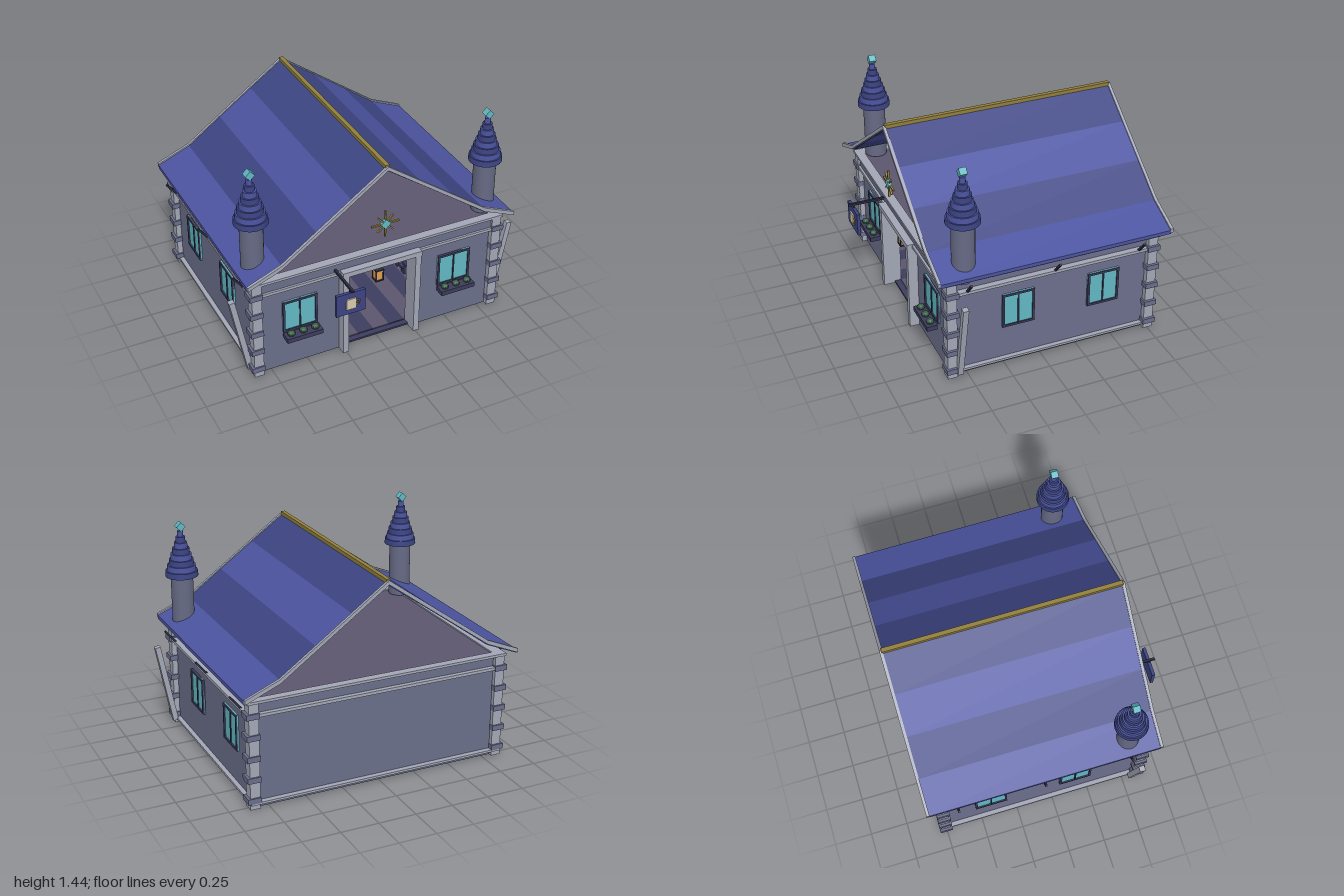
import * as THREE from 'three';

const C = {
  wall: 0x6b6f8b, trim: 0xa3a7b6, block: 0x6a6e8c, roofA: 0x3e4684, roofB: 0x4c54a0,
  dark: 0x2a2c40, frame: 0x3c3c5c, glass: 0x62b8c4, gold: 0x92803c, wood: 0x5c566e,
  plank: 0x3c3c60, blue: 0x3c4484, stone: 0x666a84, green: 0x3c6048, cream: 0xd8ccb0, lamp: 0xe0a050,
};
const mats = {};
for (const k in C) mats[k] = new THREE.MeshStandardMaterial({ color: C[k], flatShading: true });
mats.stone.flatShading = false;

function add(parent, name, geo, mat, x = 0, y = 0, z = 0) {
  const m = new THREE.Mesh(geo, mats[mat]);
  m.name = name;
  m.position.set(x, y, z);
  parent.add(m);
  return m;
}
// Box given by its limits on each axis
function box(parent, name, mat, x0, x1, y0, y1, z0, z1) {
  return add(parent, name, new THREE.BoxGeometry(x1 - x0, y1 - y0, z1 - z0), mat,
    (x0 + x1) / 2, (y0 + y1) / 2, (z0 + z1) / 2);
}
function group(parent, name) {
  const g = new THREE.Group();
  g.name = name;
  parent.add(g);
  return g;
}
// Square stick between two points in the xy plane
function stick(parent, name, mat, a, b, thick, depth, z) {
  const dx = b[0] - a[0], dy = b[1] - a[1];
  const m = add(parent, name, new THREE.BoxGeometry(Math.hypot(dx, dy), thick, depth), mat,
    (a[0] + b[0]) / 2, (a[1] + b[1]) / 2, z);
  m.rotation.z = Math.atan2(dy, dx);
  return m;
}

// Framed two-pane window facing +z, origin at its centre
function makeWindow(parent, w, h) {
  const g = group(parent, 'window');
  const t = 0.014;
  box(g, 'windowGlass', 'glass', -w / 2, w / 2, -h / 2, h / 2, -0.01, 0.006);
  for (const s of [-1, 1]) {
    add(g, 'windowFrameSide', new THREE.BoxGeometry(t, h, 0.03), 'frame', s * (w - t) / 2);
    add(g, 'windowFrameRail', new THREE.BoxGeometry(w, t, 0.03), 'frame', 0, s * (h - t) / 2);
  }
  box(g, 'windowMullion', 'dark', -0.005, 0.005, -h / 2, h / 2, 0, 0.012);
  return g;
}

function buildWalls(root) {
  const g = group(root, 'walls');
  // Front wall with the doorway cut out
  const s = new THREE.Shape();
  [[-0.84, 0], [-0.24, 0], [-0.24, 0.6], [0.24, 0.6], [0.24, 0], [0.84, 0], [0.84, 0.7], [-0.84, 0.7]]
    .forEach(([x, y], i) => (i ? s.lineTo(x, y) : s.moveTo(x, y)));
  add(g, 'frontWall', new THREE.ExtrudeGeometry(s, { depth: 0.05, bevelEnabled: false }), 'wall', 0, 0, 0.55);
  box(g, 'backWall', 'wall', -0.84, 0.84, 0, 0.7, -0.76, -0.71);
  for (const k of [-1, 1]) add(g, 'sideWall', new THREE.BoxGeometry(0.05, 0.7, 1.26), 'wall', k * 0.815, 0.35, -0.08);
  box(g, 'floorSlab', 'plank', -0.83, 0.83, 0.002, 0.015, -0.75, 0.59);
  for (let i = 0; i < 14; i++) {
    const x = -0.79 + i * 0.113;
    box(g, 'floorPlank', i % 2 ? 'wood' : 'plank', x, x + 0.113, 0.012, 0.022, -0.71, 0.55);
  }
  box(g, 'ceiling', 'wood', -0.83, 0.83, 0.67, 0.703, -0.75, 0.59);

  // Horizontal trim running round the building
  for (const [y0, y1, o] of [[0.605, 0.625, 0.03], [0.695, 0.712, 0.035]]) {
    box(g, 'frontTrim', 'trim', -0.85 - o, 0.85 + o, y0, y1, 0.58, 0.605 + o);
    box(g, 'backTrim', 'trim', -0.85 - o, 0.85 + o, y0, y1, -0.76 - o, -0.74);
    for (const k of [-1, 1]) {
      add(g, 'sideTrim', new THREE.BoxGeometry(0.04 + o, y1 - y0, 1.36), 'trim', k * (0.83 + o / 2), (y0 + y1) / 2, -0.08);
    }
  }
  box(g, 'frontBeam', 'wall', -0.86, 0.86, 0.625, 0.695, 0.58, 0.62);
  box(g, 'backSill', 'trim', -0.87, 0.87, 0.03, 0.045, -0.795, -0.75);
  for (const k of [-1, 1]) add(g, 'sideSill', new THREE.BoxGeometry(0.05, 0.015, 1.4), 'trim', k * 0.845, 0.0375, -0.09);

  // Corner posts with projecting blocks
  for (const x of [-0.843, 0.843]) for (const z of [0.602, -0.755]) {
    add(g, 'cornerPost', new THREE.BoxGeometry(0.065, 0.7, 0.065), 'trim', x, 0.35, z);
    for (let i = 0; i < 5; i++) {
      add(g, 'cornerBlock', new THREE.BoxGeometry(0.085, 0.036, 0.085), 'block', x * 1.008, 0.06 + i * 0.139, z);
    }
  }
  // Door surround and lantern
  for (const k of [-1, 1]) add(g, 'doorPost', new THREE.BoxGeometry(0.04, 0.6, 0.12), 'trim', k * 0.255, 0.3, 0.605);
  box(g, 'doorLintel', 'trim', -0.278, 0.278, 0.597, 0.632, 0.545, 0.668);
  const l = group(g, 'lantern');
  box(l, 'lanternChain', 'dark', -0.003, 0.003, 0.54, 0.6, 0.597, 0.603);
  box(l, 'lanternGlow', 'lamp', -0.023, 0.023, 0.468, 0.537, 0.577, 0.623);
  for (const y of [0.464, 0.541]) add(l, 'lanternCap', new THREE.BoxGeometry(0.058, 0.009, 0.058), 'dark', 0, y, 0.6);
  for (const x of [-0.025, 0.025]) for (const z of [0.575, 0.625]) {
    add(l, 'lanternBar', new THREE.BoxGeometry(0.007, 0.08, 0.007), 'dark', x, 0.502, z);
  }

  for (const k of [-1, 1]) {
    // Windows and planters
    makeWindow(g, 0.235, 0.23).position.set(k * 0.548, 0.388, 0.603);
    add(g, 'flowerBox', new THREE.BoxGeometry(0.245, 0.032, 0.07), 'frame', k * 0.548, 0.255, 0.655);
    for (const d of [-0.082, 0, 0.082]) {
      add(g, 'plant', new THREE.SphereGeometry(0.026, 10, 6), 'green', k * 0.548 + d, 0.284, 0.655).scale.y = 0.75;
    }
    for (const z of [0.155, -0.425]) {
      const w = makeWindow(g, 0.215, 0.24);
      w.position.set(k * 0.843, 0.395, z);
      w.rotation.y = k * Math.PI / 2;
    }
    // Leaning buttress and eave brackets
    stick(g, 'buttress', 'trim', [k * 0.878, 0.03], [k * 0.982, 0.58], 0.036, 0.037, 0.558);
    for (const z of [0.5, -0.08, -0.655]) stick(g, 'eaveBracket', 'dark', [k * 0.87, 0.62], [k * 0.94, 0.705], 0.014, 0.014, z);
  }
}

function buildRoof(root) {
  const g = group(root, 'roof');
  const p = [[0, 1.345], [0.235, 1.18], [0.467, 1.015], [0.7, 0.846], [0.925, 0.752]];
  // A strip is a slanted slab of the given thickness hanging below the profile
  const strip = (name, mat, k, i, j, lift, thick, z0, z1) => {
    const [a, b] = [p[i], p[j]];
    const s = new THREE.Shape();
    s.moveTo(k * a[0], a[1] + lift);
    s.lineTo(k * b[0], b[1] + lift);
    s.lineTo(k * b[0], b[1] + lift - thick);
    s.lineTo(k * a[0], a[1] + lift - thick);
    add(g, name, new THREE.ExtrudeGeometry(s, { depth: z1 - z0, bevelEnabled: false }), mat, 0, 0, z0);
  };
  for (const k of [-1, 1]) {
    for (let i = 0; i < 4; i++) strip('roofStrip', i % 2 ? 'roofB' : 'roofA', k, i, i + 1, 0, 0.025, -0.845, 0.69);
    for (const z of [-0.862, 0.685]) for (const [i, j] of [[0, 3], [3, 4]]) strip('gableTrim', 'trim', k, i, j, 0.01, 0.027, z, z + 0.02);
  }
  box(g, 'ridge', 'gold', -0.014, 0.014, 1.33, 1.36, -0.85, 0.692);

  // Gable star
  const star = group(g, 'gableStar');
  star.position.set(0, 0.935, 0.68);
  for (let i = 0; i < 4; i++) {
    const len = i % 2 ? 0.15 : 0.19;
    add(star, 'starRay', new THREE.BoxGeometry(len, 0.01, 0.012), 'gold').rotation.z = i * Math.PI / 4;
  }
  add(star, 'starGem', new THREE.BoxGeometry(0.05, 0.05, 0.024), 'glass').rotation.z = Math.PI / 4;
}

function buildTurret(root, x) {
  const g = group(root, 'turret');
  g.position.set(x, 0, 0.5);
  add(g, 'turretShaft', new THREE.CylinderGeometry(0.073, 0.073, 0.36, 28), 'stone', 0, 0.89);
  add(g, 'turretFoot', new THREE.CylinderGeometry(0.05, 0.05, 0.05, 20), 'stone', 0, 0.69);
  // Stepped spire
  for (let i = 0; i < 8; i++) {
    const r = 0.108 - i * 0.0127;
    add(g, 'spireStep', new THREE.CylinderGeometry(r * 0.97, r, 0.038, 28), 'roofB', 0, 1.099 + i * 0.0378).material = i % 2 ? mats.roofB : mats.blue;
  }
  add(g, 'spireGem', new THREE.BoxGeometry(0.044, 0.044, 0.046), 'glass', 0, 1.412).rotation.z = Math.PI / 4;
}

function buildSign(root) {
  const g = group(root, 'hangingSign');
  g.position.x = -0.31;
  box(g, 'signArm', 'dark', -0.008, 0.008, 0.634, 0.65, 0.6, 0.865);
  for (const k of [-1, 1]) add(g, 'signHanger', new THREE.BoxGeometry(0.006, 0.03, 0.006), 'dark', k * 0.004, 0.625, 0.828);
  box(g, 'signBoard', 'blue', -0.1, 0.1, 0.46, 0.617, 0.818, 0.839);
  box(g, 'mug', 'cream', -0.033, 0.033, 0.5, 0.576, 0.836, 0.848);
  add(g, 'mugHandle', new THREE.TorusGeometry(0.02, 0.006, 6, 4), 'gold', 0.042, 0.538, 0.842).rotation.z = Math.PI / 4;
}

function buildInterior(root) {
  const g = group(root, 'interior');
  // Counter with panelled front
  box(g, 'counterBody', 'wood', -0.5, 0.5, 0.02, 0.2, -0.5, -0.38);
  box(g, 'counterTop', 'plank', -0.52, 0.52, 0.2, 0.217, -0.52, -0.36);
  for (let i = -2; i <= 2; i++) add(g, 'counterRib', new THREE.BoxGeometry(0.014, 0.18, 0.014), 'plank', i * 0.205, 0.11, -0.376);
  // Tables with benches
  for (const x of [-0.56, 0.56]) for (const z of [0.22, -0.12]) {
    const t = group(g, 'table');
    t.position.set(x, 0, z);
    box(t, 'tableTop', 'plank', -0.13, 0.13, 0.14, 0.16, -0.07, 0.07);
    for (const k of [-1, 1]) {
      add(t, 'tableLeg', new THREE.BoxGeometry(0.02, 0.12, 0.1), 'plank', k * 0.1, 0.08, 0);
      add(t, 'bench', new THREE.BoxGeometry(0.24, 0.016, 0.045), 'plank', 0, 0.085, k * 0.12);
      for (const j of [-1, 1]) add(t, 'benchLeg', new THREE.BoxGeometry(0.016, 0.06, 0.04), 'plank', j * 0.09, 0.05, k * 0.12);
    }
  }
}

export function createModel() {
  const root = new THREE.Group();
  root.name = 'tavern';
  buildWalls(root);
  buildInterior(root);
  buildRoof(root);
  for (const x of [-0.808, 0.808]) buildTurret(root, x);
  buildSign(root);
  return root;
}
